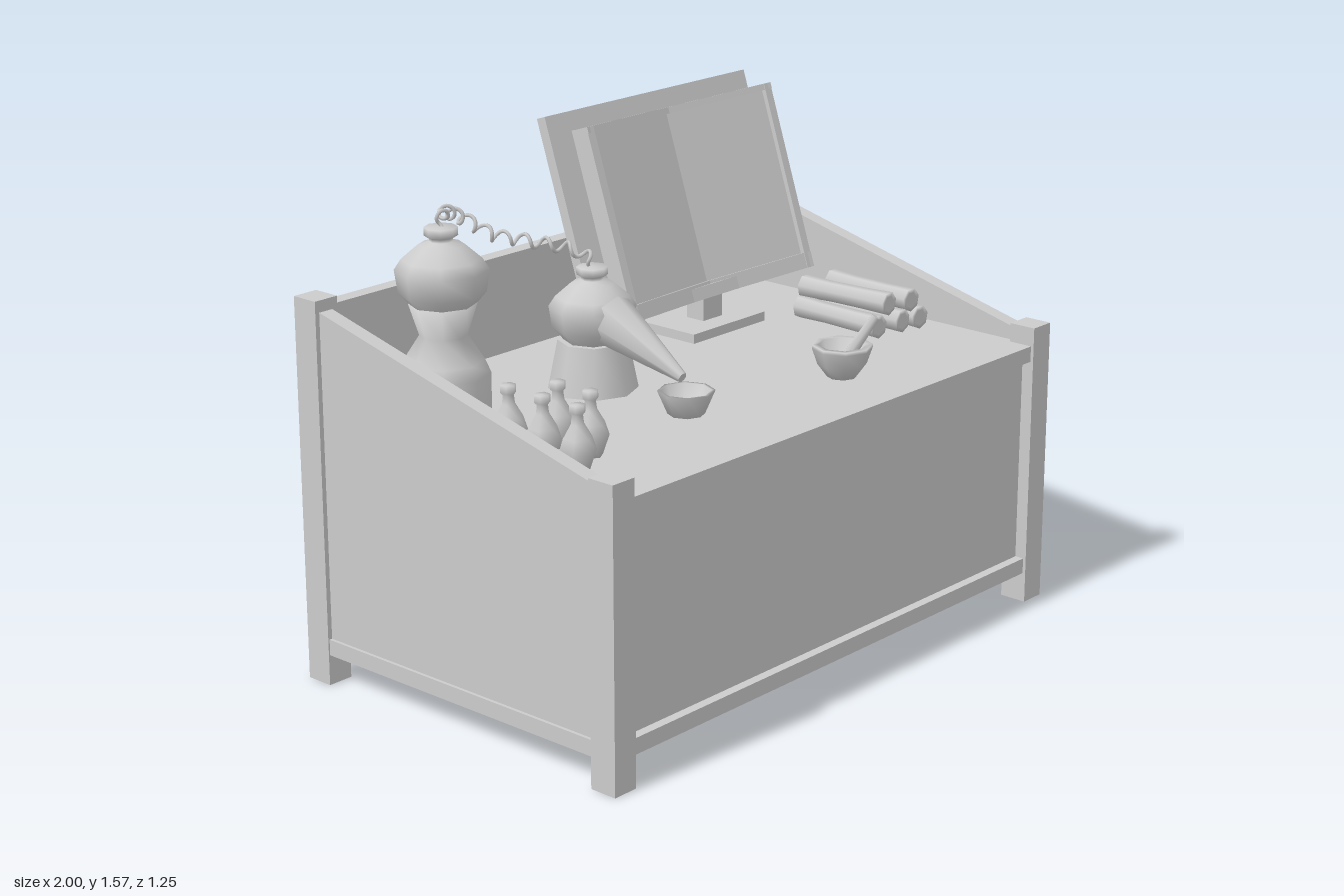
import * as THREE from 'three';

const V = (x, y, z) => new THREE.Vector3(x, y, z);

export function createModel() {
  const root = new THREE.Group();
  const mat = new THREE.MeshStandardMaterial({ color: 0xcccccc, side: THREE.DoubleSide });
  const add = (name, geo, parent = root) => {
    const m = new THREE.Mesh(geo, mat);
    m.name = name;
    parent.add(m);
    return m;
  };
  // Box given by its min/max extents on each axis
  const box = (name, x0, x1, y0, y1, z0, z1, parent = root) => {
    const m = add(name, new THREE.BoxGeometry(x1 - x0, y1 - y0, z1 - z0), parent);
    m.position.set((x0 + x1) / 2, (y0 + y1) / 2, (z0 + z1) / 2);
    return m;
  };
  // Turned part from [radius, height] pairs, bottom to top
  const lathe = (name, pts, x, y, z, sides = 8) => {
    const m = add(name, new THREE.LatheGeometry(pts.map(p => new THREE.Vector2(...p)), sides));
    m.position.set(x, y, z);
    return m;
  };
  // Cylinder or cone between two points
  const rod = (name, a, b, ra, rb, sides = 8) => {
    const d = b.clone().sub(a);
    const m = add(name, new THREE.CylinderGeometry(rb, ra, d.length(), sides));
    m.position.copy(a).addScaledVector(d, 0.5);
    m.quaternion.setFromUnitVectors(V(0, 1, 0), d.normalize());
    return m;
  };

  // ---- Desk: legs, side panels and side rails, mirrored ----
  const top = 0.85;
  for (const s of [-1, 1]) {
    const a = s > 0 ? 0.915 : -1, b = s > 0 ? 1 : -0.915;
    box('frontLeg', a, b, 0, 0.91, 0.535, 0.625);
    box('backLeg', a, b, 0, 1.19, -0.625, -0.535);

    const side = new THREE.Shape([[-0.55, 0.12], [0.55, 0.12], [0.55, 0.888], [-0.55, 1.158]]
      .map(p => new THREE.Vector2(...p)));
    const g = new THREE.ExtrudeGeometry(side, { depth: 0.05, bevelEnabled: false });
    g.rotateY(-Math.PI / 2); // profile runs along z, thickness along -x
    add('sidePanel', g).position.x = s > 0 ? 0.985 : -0.935;

    box('sideRail', s > 0 ? 0.93 : -0.995, s > 0 ? 0.995 : -0.93, 0.095, 0.145, -0.54, 0.54);
  }
  box('frontPanel', -0.92, 0.92, 0.12, 0.82, 0.55, 0.585);
  box('frontRail', -0.92, 0.92, 0.095, 0.145, 0.55, 0.615);
  box('backPanel', -0.92, 0.92, 0.12, 1.16, -0.61, -0.56);
  box('backRail', -0.92, 0.92, 0.095, 0.145, -0.62, -0.56);
  box('floorPanel', -0.94, 0.94, 0.1, 0.12, -0.57, 0.57);
  box('deskTop', -0.94, 0.94, 0.8, top, -0.57, 0.615);

  // ---- Tilted folded screen ----
  const screen = new THREE.Group();
  screen.name = 'screen';
  screen.position.set(0.41, 0.975, -0.195);
  screen.rotation.x = -0.32;
  root.add(screen);
  const fold = 0.06;
  // Slab bent backwards along its centre line
  const bent = (name, half, front, back, y0, y1) => {
    const shape = new THREE.Shape([
      [-half, -front], [-half, -back], [0, fold - back], [half, -back], [half, -front], [0, fold - front],
    ].map(p => new THREE.Vector2(...p)));
    const g = new THREE.ExtrudeGeometry(shape, { depth: y1 - y0, bevelEnabled: false });
    g.rotateX(-Math.PI / 2);
    add(name, g, screen).position.y = y0;
  };
  const L = 0.61;
  bent('screenBody', 0.42, -0.014, -0.068, 0.005, L - 0.005);
  bent('lowerBezel', 0.43, 0, -0.068, 0, 0.05);
  bent('upperBezel', 0.43, 0, -0.068, L - 0.02, L);
  for (const s of [-1, 1]) box('sideBezel', s * 0.415 - 0.015, s * 0.415 + 0.015, 0, L, -0.068, -0.002, screen);
  box('backPlate', -0.465, 0.465, 0, 0.67, -0.167, -0.132, screen);
  box('ledge', -0.465, 0.465, 0, 0.04, -0.16, -0.045, screen);
  box('standNeck', 0.37, 0.46, 0.87, 0.99, -0.33, -0.26);
  box('standBase', 0.24, 0.58, top, 0.88, -0.44, -0.185);

  // ---- Round flask on a waisted burner ----
  const flask = r => [[0, -r * 0.85], [r * 0.55, -r * 0.78], [r * 0.93, -r * 0.35], [r, 0.02], [r * 0.85, r * 0.38],
    [r * 0.5, r * 0.68], [r * 0.25, r * 0.76], [r * 0.25, r * 0.84], [r * 0.36, r * 0.88], [r * 0.36, r * 1.06], [0, r * 1.06]];
  lathe('burner', [[0, 0], [0.135, 0], [0.135, 0], [0.135, 0.12], [0.118, 0.16], [0.07, 0.235], [0.1, 0.33], [0, 0.33]],
    -0.74, top, -0.28);
  lathe('tallFlask', flask(0.137), -0.74, 1.26, -0.28);

  // ---- Spouted flask on a conical burner, with a catch bowl ----
  lathe('coneBurner', [[0, 0], [0.135, 0], [0.135, 0], [0.105, 0.15], [0.105, 0.15], [0, 0.15]], -0.285, top, -0.12);
  lathe('spoutedFlask', flask(0.13), -0.285, 1.085, -0.12);
  rod('spout', V(-0.285, 1.075, -0.05), V(-0.285, 0.955, 0.235), 0.082, 0.016);
  lathe('catchBowl', [[0, 0], [0.055, 0], [0.085, 0.07], [0.074, 0.07], [0.048, 0.015], [0, 0.015]], -0.285, top, 0.25);

  // ---- Coiled tube joining the two flasks ----
  const path = new THREE.CatmullRomCurve3([
    V(-0.74, 1.37, -0.28), V(-0.735, 1.43, -0.285), V(-0.68, 1.43, -0.32), V(-0.58, 1.385, -0.355), V(-0.48, 1.32, -0.33),
    V(-0.38, 1.29, -0.28), V(-0.31, 1.27, -0.2), V(-0.285, 1.25, -0.14), V(-0.285, 1.2, -0.12),
  ]);
  const n = 110, turns = 11, frames = path.computeFrenetFrames(n);
  const coil = [];
  for (let i = 0; i <= n; i++) {
    const a = i / n * turns * Math.PI * 2, r = 0.018 * Math.min(1, i / 14, (n - i) / 10);
    coil.push(path.getPointAt(i / n)
      .addScaledVector(frames.normals[i], r * Math.cos(a))
      .addScaledVector(frames.binormals[i], r * Math.sin(a)));
  }
  add('coiledTube', new THREE.TubeGeometry(new THREE.CatmullRomCurve3(coil), 220, 0.006, 5));

  // ---- Small bottles ----
  for (const [x, z] of [[-0.85, 0.09], [-0.85, 0.222], [-0.85, 0.355], [-0.735, 0.17], [-0.735, 0.295]])
    lathe('bottle', [[0, 0], [0.035, 0], [0.055, 0.055], [0.042, 0.095], [0.019, 0.135], [0.016, 0.16],
      [0.023, 0.167], [0.023, 0.19], [0, 0.19]], x, top, z, 6);

  // ---- Mortar and pestle ----
  lathe('mortar', [[0, 0], [0.045, 0], [0.075, 0.04], [0.092, 0.09], [0.092, 0.1], [0.072, 0.1], [0.055, 0.05], [0, 0.03]],
    0.29, top, 0.365);
  rod('pestle', V(0.3, 0.9, 0.37), V(0.36, 1.035, 0.435), 0.022, 0.015, 6);

  // ---- Stack of rolled scrolls, slightly waisted ----
  const scrolls = [[0.675, 0.888, 0.045, 0.05], [0.762, 0.888, 0.06, -0.04], [0.848, 0.888, 0.075, 0.06],
    [0.715, 0.95, 0.04, -0.05], [0.81, 0.95, 0.065, 0.04]];
  for (const [x, y, z, turn] of scrolls) {
    const m = lathe('scroll', [[0, -0.165], [0.025, -0.165], [0.038, -0.165], [0.034, -0.06], [0.035, 0.07],
      [0.038, 0.165], [0.025, 0.165], [0, 0.165]], x, y, z, 7);
    m.rotation.set(Math.PI / 2, 0, turn);
  }
  return root;
}
